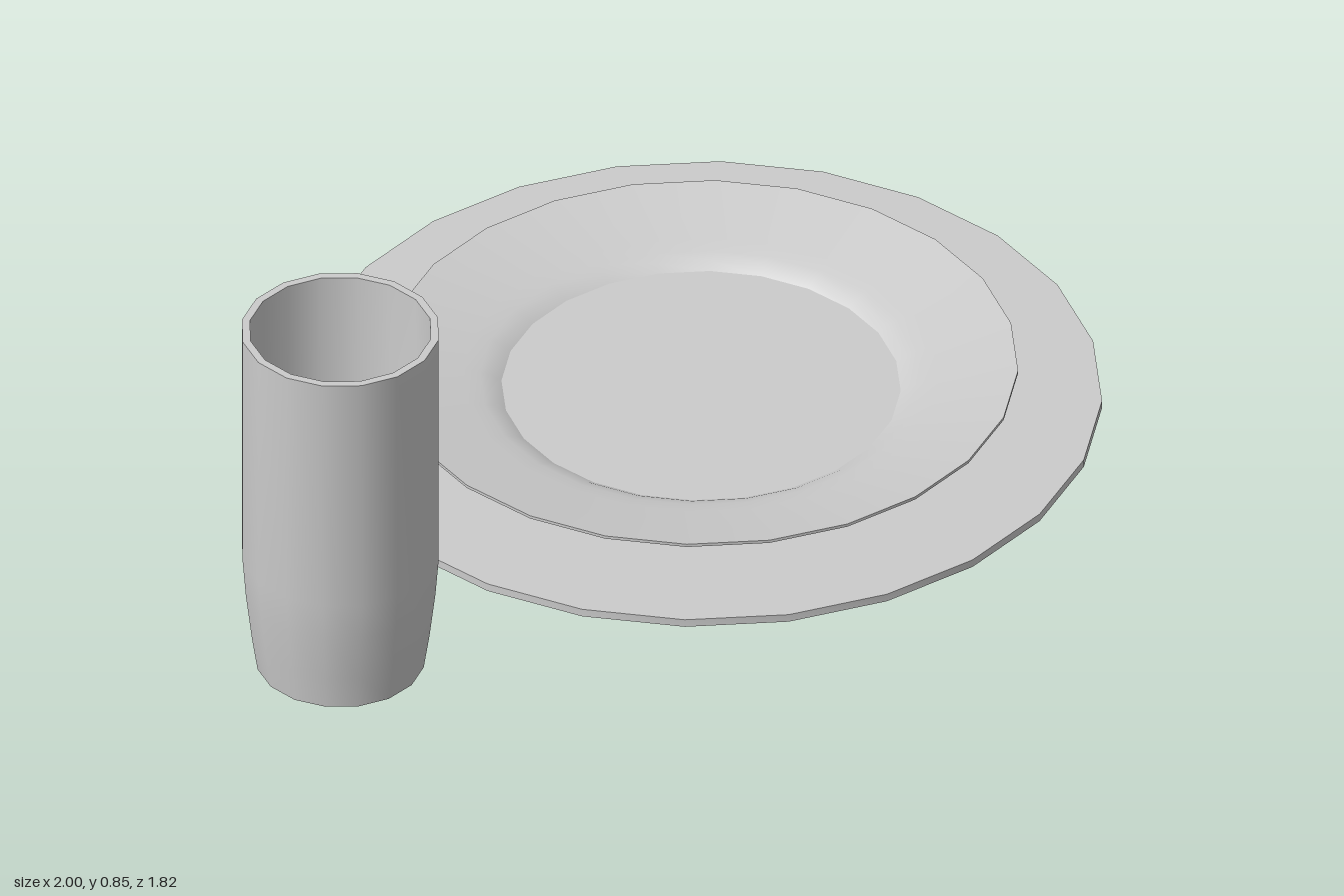
import * as THREE from 'three';
import { toCreasedNormals } from 'three/addons/utils/BufferGeometryUtils.js';

const grey = new THREE.MeshStandardMaterial({ color: 0xcccccc });
grey.name = 'plain grey';

// Closed turned part: profile runs from the underside centre, round the outside, to the inner centre
function turned(name, profile, sides, x, z) {
  const points = profile.map(([r, y]) => new THREE.Vector2(r, y));
  const geometry = toCreasedNormals(new THREE.LatheGeometry(points, sides), 0.5);
  const mesh = new THREE.Mesh(geometry, grey);
  mesh.name = name;
  mesh.position.set(x, 0, z);
  return mesh;
}

export function createModel() {
  const group = new THREE.Group();
  group.name = 'placeSetting';

  // Thin round place mat
  group.add(turned('placeMat', [[0, 0], [0.84, 0], [0.84, 0.018], [0, 0.018]], 24, 0.16, -0.07));

  // Plate with a flat well and a wide sloping rim
  group.add(turned('plate', [
    [0, 0.019], [0.42, 0.019], [0.445, 0.032], [0.465, 0.04], [0.5, 0.047], [0.667, 0.082],
    [0.667, 0.089],
    [0.5, 0.056], [0.465, 0.049], [0.44, 0.041], [0.42, 0.029], [0, 0.029],
  ], 24, 0.157, -0.073));

  // Hollow tumbler, tapering towards the base
  group.add(turned('tumbler', [
    [0, 0], [0.178, 0], [0.19, 0.08], [0.203, 0.19], [0.21, 0.28], [0.21, 0.845],
    [0.193, 0.845], [0.193, 0.28], [0.186, 0.19], [0.174, 0.08], [0.163, 0.02], [0, 0.02],
  ], 16, -0.79, 0.7));

  return group;
}
